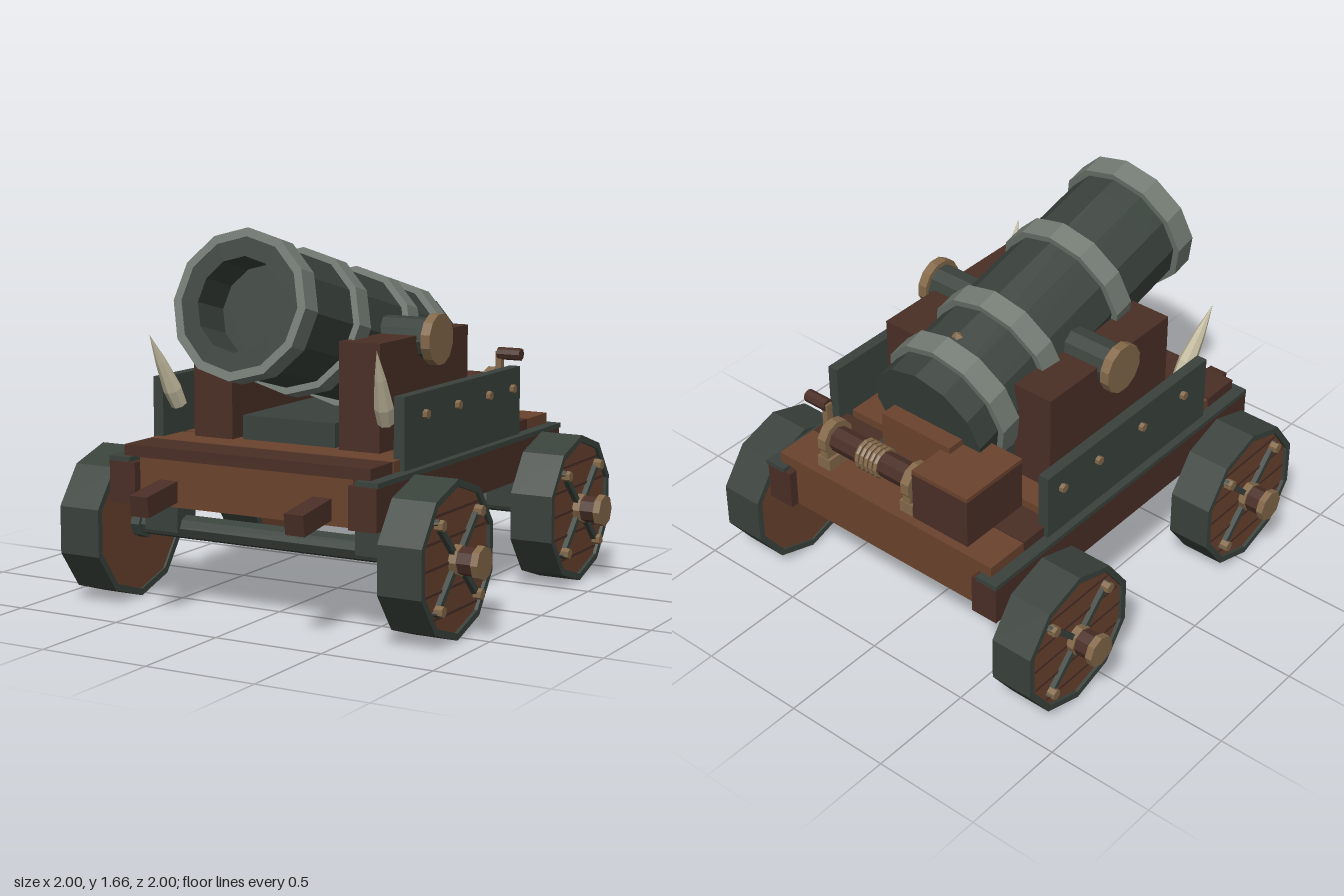
import * as THREE from 'three';

const mat = (name, color) => {
  const m = new THREE.MeshStandardMaterial({ color, flatShading: true });
  m.name = name;
  return m;
};

export function createModel() {
  const iron = mat('dark iron', 0x3a423c);
  const steel = mat('grey steel', 0x727a72);
  const wood = mat('brown wood', 0x6b432d);
  const darkWood = mat('dark wood', 0x4a2f26);
  const brass = mat('brass', 0x84694a);
  const ivory = mat('ivory', 0xc4bca0);

  const model = new THREE.Group();
  model.name = 'cannon';

  const add = (parent, name, geo, material, x = 0, y = 0, z = 0) => {
    const mesh = new THREE.Mesh(geo, material);
    mesh.name = name;
    mesh.position.set(x, y, z);
    parent.add(mesh);
    return mesh;
  };
  // Box given by its two extents on each axis
  const box = (parent, name, m, x0, x1, y0, y1, z0, z1) =>
    add(parent, name, new THREE.BoxGeometry(x1 - x0, y1 - y0, z1 - z0), m,
      (x0 + x1) / 2, (y0 + y1) / 2, (z0 + z1) / 2);
  // Polygonal prism along z from z0 to z1, a corner at the top, optionally hollow
  const prism = (n, r, z0, z1, hole = 0) => {
    const pts = (rad) => Array.from({ length: n }, (_, i) => {
      const a = Math.PI / 2 + (i / n) * Math.PI * 2;
      return new THREE.Vector2(Math.cos(a) * rad, Math.sin(a) * rad);
    });
    const s = new THREE.Shape(pts(r));
    if (hole) s.holes.push(new THREE.Path(pts(hole)));
    return new THREE.ExtrudeGeometry(s, { depth: z1 - z0, bevelEnabled: false }).translate(0, 0, z0);
  };
  // The same prism laid along x
  const prismX = (n, r, x0, x1, hole) => prism(n, r, x0, x1, hole).rotateY(Math.PI / 2);

  // Wheels and axles
  const makeWheel = () => {
    const g = new THREE.Group();
    g.name = 'wheel';
    add(g, 'tyre', prismX(10, 0.335, 0.68, 0.88, 0.305), iron);
    add(g, 'wheelDisc', prismX(10, 0.306, 0.69, 0.865), wood);
    for (const y of [-0.21, -0.105, 0, 0.105, 0.21]) {
      const h = Math.sqrt(0.288 ** 2 - y * y);
      box(g, 'plankGap', darkWood, 0.862, 0.87, y - 0.006, y + 0.006, -h, h);
    }
    for (const a of [Math.PI / 4, -Math.PI / 4]) {
      const bar = box(g, 'crossBar', iron, 0.86, 0.888, -0.27, 0.27, -0.013, 0.013);
      bar.rotation.x = a;
    }
    for (const y of [-0.175, 0.175]) for (const z of [-0.175, 0.175])
      add(g, 'wheelBolt', prismX(6, 0.024, 0.87, 0.907), brass, 0, y, z);
    add(g, 'hub', prismX(8, 0.06, 0.86, 0.972), darkWood);
    add(g, 'hubCollar', prismX(8, 0.066, 0.865, 0.9), brass);
    add(g, 'hubCap', prismX(8, 0.072, 0.968, 1.0), brass);
    add(g, 'axleCollar', prismX(8, 0.07, 0.645, 0.695), iron);
    return g;
  };
  for (const z of [0.55, -0.68]) {
    add(model, 'axle', prismX(8, 0.053, -0.7, 0.7), iron, 0, 0.335, z);
    for (const side of [1, -1]) {
      const wheel = makeWheel();
      wheel.position.set(0, 0.335, z);
      if (side < 0) wheel.rotation.y = Math.PI;
      model.add(wheel);
      box(model, 'axleHanger', iron, side * 0.525 - 0.085, side * 0.525 + 0.085, 0.32, 0.55, z - 0.07, z + 0.07);
    }
  }

  // Chassis beams and deck
  box(model, 'frontBeam', wood, -0.52, 0.52, 0.47, 0.67, 0.6, 0.78);
  box(model, 'rearBeam', wood, -0.52, 0.52, 0.47, 0.67, -0.9, -0.72);
  const planks = [[-0.91, -0.705, wood], [-0.7, -0.52, darkWood], [-0.485, -0.3, wood], [-0.27, -0.07, wood],
    [-0.04, 0.16, wood], [0.19, 0.35, wood], [0.38, 0.585, wood], [0.595, 0.78, darkWood]];
  for (const [z0, z1, m] of planks) box(model, 'deckPlank', m, -0.6, 0.6, 0.67, 0.72, z0, z1);

  // Parts repeated on both sides
  for (const s of [1, -1]) {
    const sideBox = (name, m, x0, x1, ...yz) =>
      box(model, name, m, Math.min(s * x0, s * x1), Math.max(s * x0, s * x1), ...yz);
    sideBox('sideRail', darkWood, 0.52, 0.65, 0.47, 0.652, -0.94, 0.82);
    sideBox('railStrap', iron, 0.55, 0.655, 0.65, 0.672, -0.945, 0.815);
    sideBox('sidePlate', iron, 0.57, 0.62, 0.67, 0.98, -0.57, 0.53);
    for (const z of [0.355, 0.06, -0.24, -0.48])
      add(model, 'plateBolt', prismX(6, 0.02, -0.02, 0.02), brass, s * 0.62, 0.888, z);
    sideBox('cheek', darkWood, 0.265, 0.46, 0.72, 1.18, -0.36, 0.45);

    const prong = sideBox('frontProng', darkWood, 0.33, 0.42, 0.485, 0.575, 0.6, 1.0);
    prong.position.set(s * 0.375, 0.535, 0.8);
    prong.rotation.x = 0.14;

    // Tusk leaning forward and outward
    const from = new THREE.Vector3(s * 0.512, 0.86, 0.49);
    const dir = new THREE.Vector3(s * 0.555, 1.18, 0.65).sub(from);
    const len = dir.length();
    const profile = [[0, 0], [0.036, 0], [0.042, 0.08], [0.025, 0.22], [0, len]].map(([x, y]) => new THREE.Vector2(x, y));
    const tusk = add(model, 'tusk', new THREE.LatheGeometry(profile, 7), ivory, from.x, from.y, from.z);
    tusk.quaternion.setFromUnitVectors(new THREE.Vector3(0, 1, 0), dir.normalize());
  }

  // Barrel, tilted about its trunnions
  const barrel = new THREE.Group();
  barrel.name = 'barrel';
  barrel.position.set(0, 1.16, 0.04);
  barrel.rotation.x = -0.246;
  model.add(barrel);
  add(barrel, 'barrelBody', prism(12, 0.288, -0.669, 0.594), iron);
  add(barrel, 'muzzle', prism(12, 0.288, 0.594, 0.79, 0.2), iron);
  for (const [a, b] of [[0.69, 0.794], [0.236, 0.338], [-0.24, -0.136], [-0.55, -0.445]])
    add(barrel, 'barrelBand', prism(12, 0.318, a, b, 0.28), steel);
  add(barrel, 'touchHole', new THREE.ConeGeometry(0.032, 0.03, 5), brass, 0, 0.292, -0.4);
  add(barrel, 'trunnion', prismX(10, 0.092, -0.5, 0.5), iron);
  for (const s of [1, -1])
    add(barrel, 'trunnionCap', prismX(12, 0.112, -0.022, 0.022), brass, s * 0.512, 0, 0);

  // Bed and elevating block beneath the barrel
  box(model, 'barrelBed', iron, -0.23, 0.23, 0.72, 0.825, -0.72, 0.42);
  box(model, 'elevatingBlock', wood, -0.19, 0.19, 0.825, 1.0, -0.69, -0.5);

  // Storage chest
  box(model, 'chest', darkWood, -0.44, -0.14, 0.72, 0.95, -0.87, -0.52);
  box(model, 'chestLid', wood, -0.44, -0.14, 0.95, 0.97, -0.87, -0.52);

  // Winch with coiled rope and crank
  const winch = new THREE.Group();
  winch.name = 'winch';
  winch.position.set(0, 0.85, -0.795);
  model.add(winch);
  add(winch, 'drum', prismX(8, 0.058, -0.12, 0.4), darkWood);
  for (const x of [-0.1, 0.375]) {
    box(winch, 'winchPost', brass, x - 0.02, x + 0.02, -0.13, 0, -0.07, 0.07);
    box(winch, 'winchFoot', brass, x - 0.035, x + 0.035, -0.13, -0.075, -0.075, 0.075);
    add(winch, 'winchDisc', prismX(10, 0.085, x - 0.022, x + 0.022), brass);
  }
  for (let i = 0; i < 5; i++)
    add(winch, 'ropeCoil', new THREE.TorusGeometry(0.062, 0.011, 5, 12).rotateY(Math.PI / 2), brass, 0.085 + i * 0.026, 0, 0);
  box(winch, 'crankArm', brass, 0.395, 0.425, -0.02, 0.16, -0.016, 0.016);
  add(winch, 'crankHandle', prismX(8, 0.029, 0.405, 0.52), darkWood, 0, 0.15, 0);

  return model;
}
